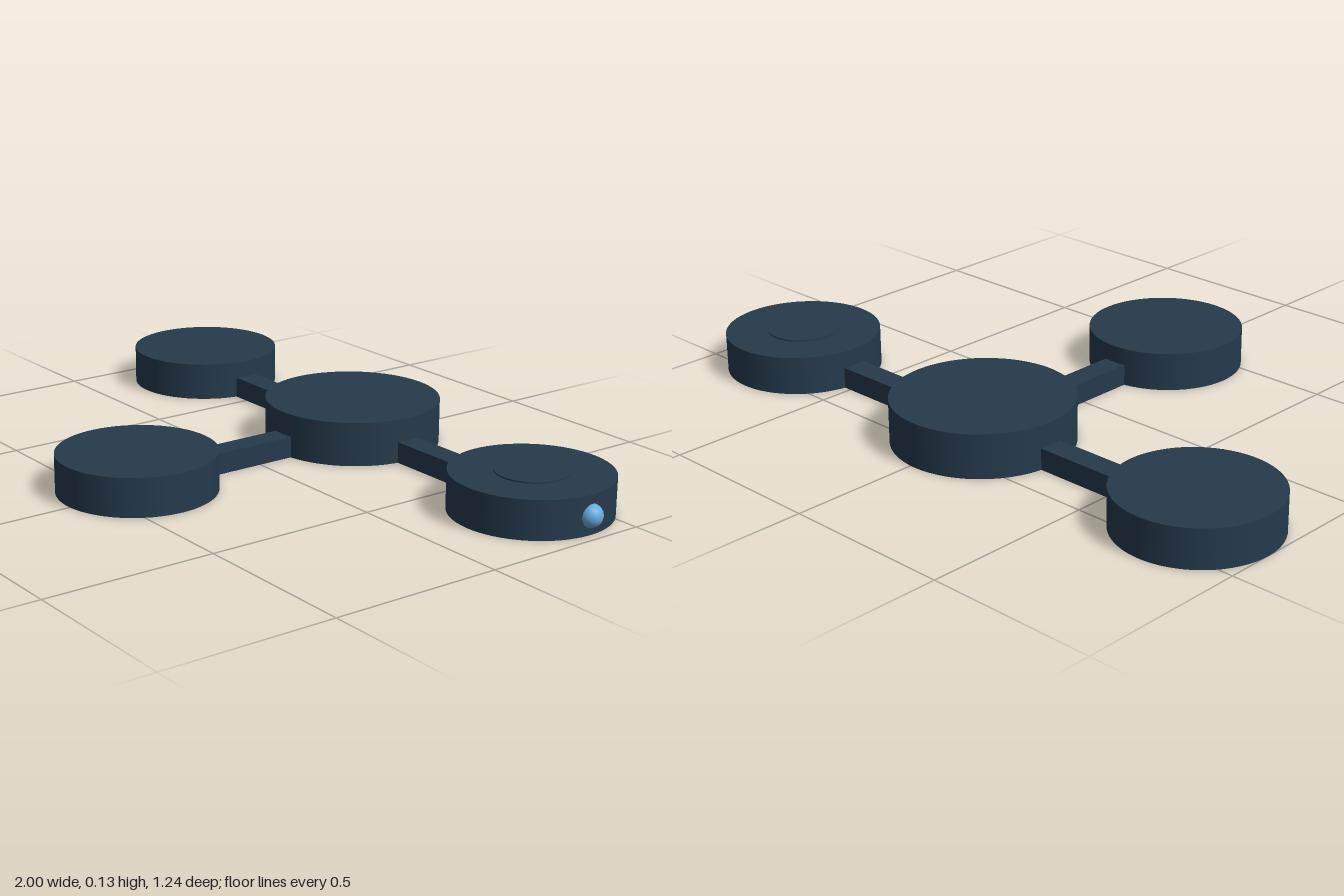
import * as THREE from 'three';

export function createModel() {
  const model = new THREE.Group();
  model.name = 'threeArmHub';

  const navy = new THREE.MeshStandardMaterial({ color: 0x253a4c });
  navy.name = 'dark navy';
  const blue = new THREE.MeshStandardMaterial({ color: 0x66aadd });
  blue.name = 'light blue';

  const CX = -0.015, CZ = -0.363; // hub axis
  const REACH = 0.76;             // hub axis to pod axis
  const ARM_H = 0.062;

  function add(name, geometry, material, x, y, z) {
    const mesh = new THREE.Mesh(geometry, material);
    mesh.name = name;
    mesh.position.set(x, y, z);
    model.add(mesh);
    return mesh;
  }

  // Upright disc standing on a given base height
  function disc(name, radius, height, x, z, base = 0) {
    return add(name, new THREE.CylinderGeometry(radius, radius, height, 64), navy, x, base + height / 2, z);
  }

  // Central hub
  disc('hub', 0.257, 0.129, CX, CZ);

  // Three arms, each ending in a round pod
  const arms = [['left', 1, 0], ['right', -1, 0], ['front', 0, 1]];
  for (const [side, dx, dz] of arms) {
    const inner = 0.24, outer = 0.55;
    const mid = (inner + outer) / 2, length = outer - inner;
    const arm = add(side + 'Arm', new THREE.BoxGeometry(length, ARM_H, 0.072), navy,
      CX + dx * mid, ARM_H / 2, CZ + dz * mid);
    if (dz) arm.rotation.y = Math.PI / 2;
    disc(side + 'Pod', 0.226, 0.112, CX + dx * REACH, CZ + dz * (REACH - 0.003));
  }

  // Raised button on the left pod
  disc('topButton', 0.103, 0.006, CX + REACH, CZ, 0.11);

  // Small indicator bead on the outer rim of the left pod
  add('indicatorBead', new THREE.SphereGeometry(0.033, 32, 20), blue, 0.967, 0.053, CZ);

  return model;
}
